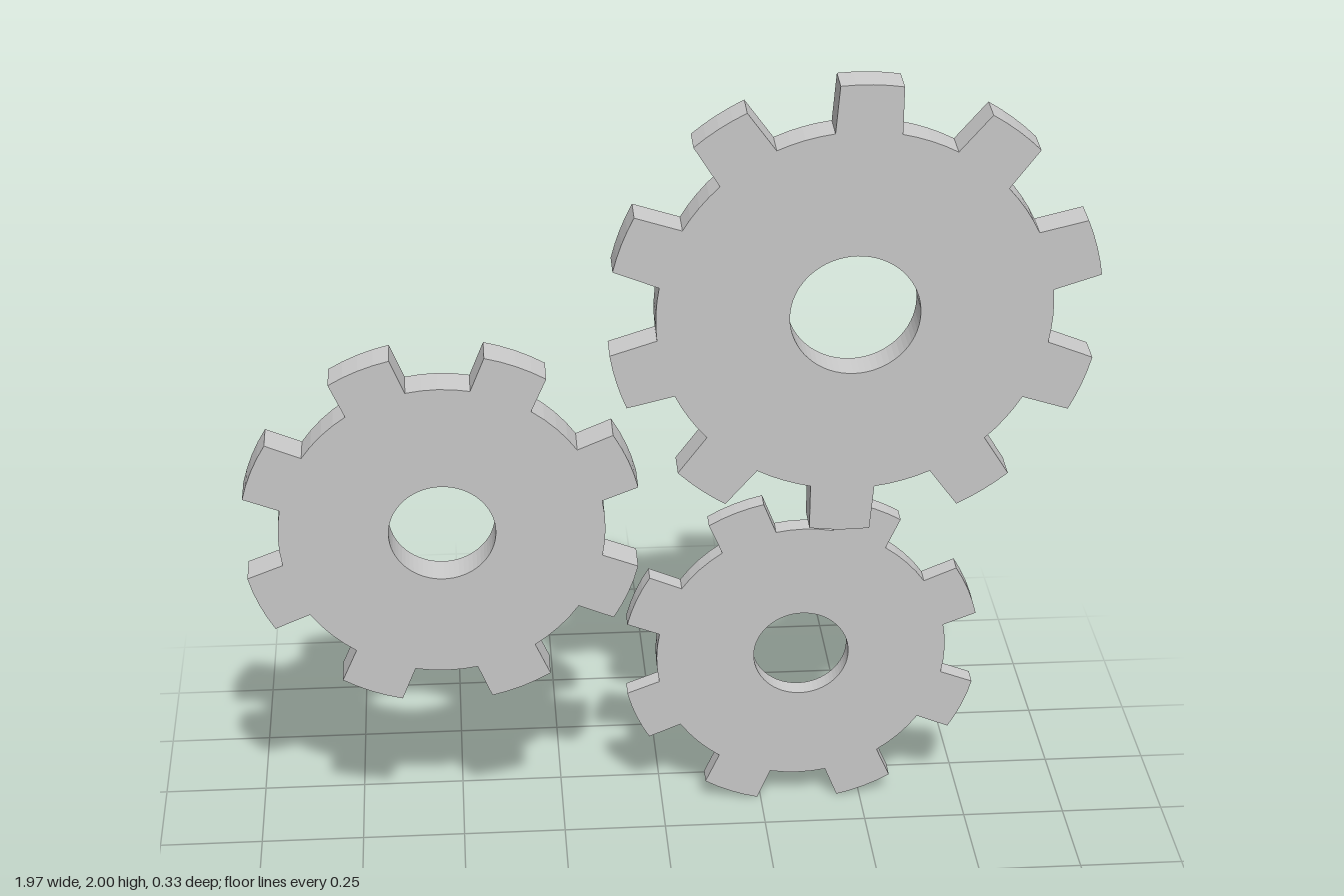
import * as THREE from 'three';

const TILT = 0.066; // all gears lean slightly forward at the top
const DEG = Math.PI / 180;

// Outline of a gear with tapered teeth and a round bore
function gearShape({ teeth, phase, tip, root, bore, tipHalf, rootHalf }) {
  const points = [];
  const arc = (radius, from, to, steps) => {
    for (let i = 0; i <= steps; i++) {
      const a = (from + ((to - from) * i) / steps) * DEG;
      points.push(new THREE.Vector2(radius * Math.cos(a), radius * Math.sin(a)));
    }
  };
  const pitch = 360 / teeth;
  for (let i = 0; i < teeth; i++) {
    const mid = phase + i * pitch;
    arc(tip, mid - tipHalf, mid + tipHalf, 4);
    arc(root, mid + rootHalf, mid + pitch - rootHalf, 4);
  }
  const shape = new THREE.Shape(points);
  shape.holes.push(new THREE.Path().absarc(0, 0, bore, 0, Math.PI * 2, true));
  return shape;
}

function makeGear(spec, material) {
  const geometry = new THREE.ExtrudeGeometry(gearShape(spec), {
    depth: spec.thickness, bevelEnabled: false, curveSegments: 32,
  });
  geometry.translate(0, 0, -spec.thickness / 2);
  const gear = new THREE.Mesh(geometry, material);
  gear.name = spec.name;
  gear.position.set(...spec.center);
  gear.rotation.x = TILT;
  return gear;
}

export function createModel() {
  const group = new THREE.Group();
  group.name = 'gears';
  const material = new THREE.MeshStandardMaterial({ color: 0xcccccc });

  const gears = [
    { name: 'largeGear', center: [0.425, 1.435, 0.088], teeth: 10, phase: 88, tip: 0.568,
      root: 0.456, bore: 0.15, tipHalf: 7.2, rootHalf: 9.5, thickness: 0.075 },
    { name: 'mediumGear', center: [-0.53, 0.91, 0.082], teeth: 8, phase: 22.5, tip: 0.47,
      root: 0.381, bore: 0.125, tipHalf: 9.3, rootHalf: 11.3, thickness: 0.08 },
    { name: 'smallGear', center: [0.342, 0.434, -0.115], teeth: 8, phase: 22.5, tip: 0.441,
      root: 0.357, bore: 0.117, tipHalf: 9.3, rootHalf: 11.3, thickness: 0.045 },
  ];
  for (const spec of gears) group.add(makeGear(spec, material));
  return group;
}
